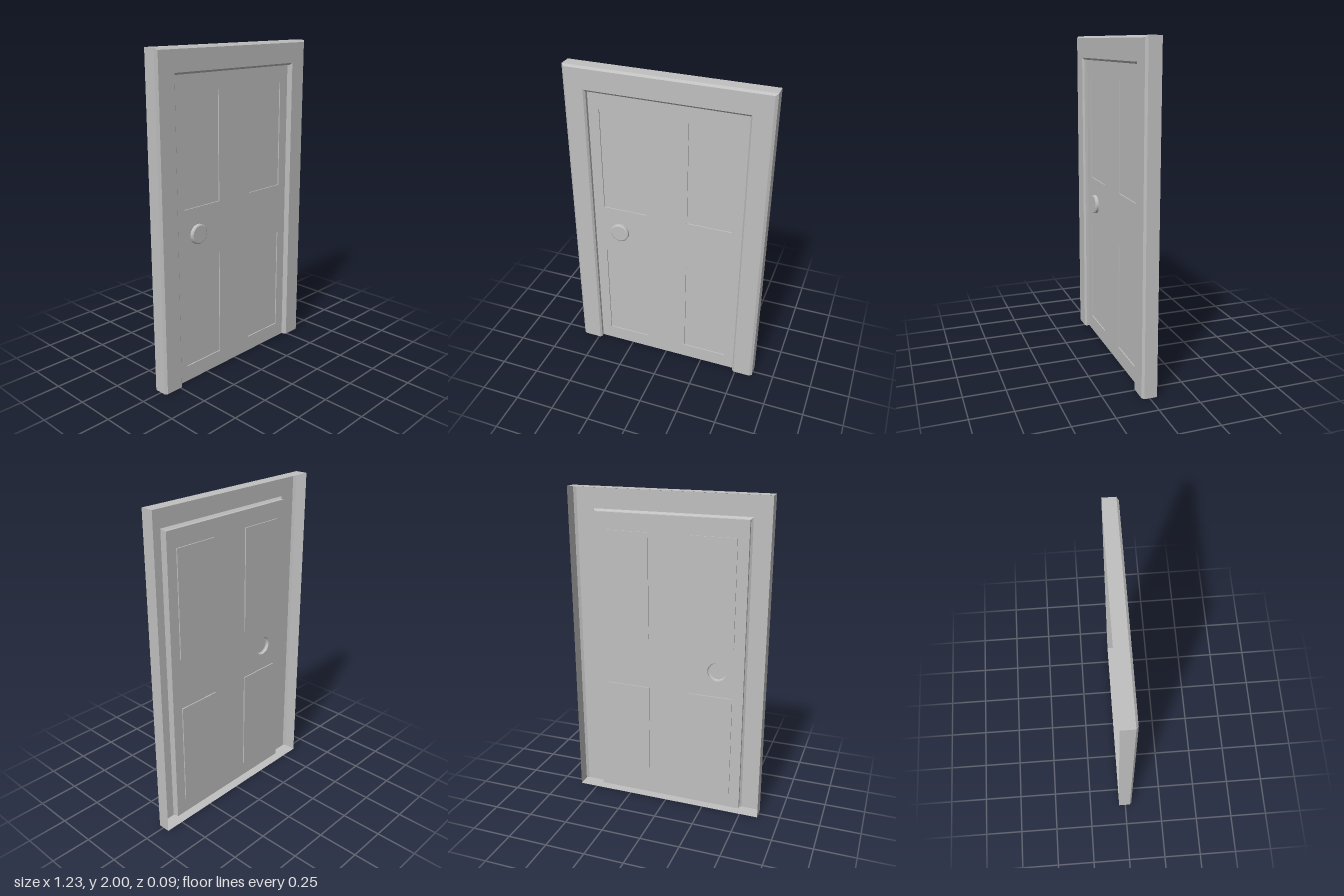
import * as THREE from 'three';

const BACK = -0.0445, FRONT = 0.0445, DOOR = 0.014; // depths in z

// Flat-faced surface lofted through cross-sections of [x, y, z] points
function loft(sections, closed) {
  const pos = [];
  for (let k = 0; k < sections.length - 1; k++) {
    const s = sections[k], t = sections[k + 1];
    const n = closed ? s.length : s.length - 1;
    for (let i = 0; i < n; i++) {
      const j = (i + 1) % s.length;
      pos.push(...s[i], ...t[i], ...t[j], ...s[i], ...t[j], ...s[j]);
    }
  }
  const g = new THREE.BufferGeometry();
  g.setAttribute('position', new THREE.Float32BufferAttribute(pos, 3));
  g.computeVertexNormals();
  return g;
}

// Outline running up the left, across the top and down the right
const outline = (x0, x1, y0, y1, z) => [[x0, y0, z], [x0, y1, z], [x1, y1, z], [x1, y0, z]];
const arch = (x, y, z) => outline(-x, x, 0, y, z);
const polygon = (pts) => new THREE.Shape(pts.map(([x, y]) => new THREE.Vector2(x, y)));

export function createModel() {
  const model = new THREE.Group();
  const grey = new THREE.MeshStandardMaterial({ color: 0xc0c0c0, side: THREE.DoubleSide });
  grey.name = 'grey';
  const add = (name, geometry) => {
    const mesh = new THREE.Mesh(geometry, grey);
    mesh.name = name;
    model.add(mesh);
    return mesh;
  };

  // Frame: open-backed shell with bevelled outer and inner edges
  add('frame', loft([
    arch(0.615, 2, BACK),
    arch(0.615, 2, 0.0325),
    arch(0.6, 1.988, FRONT),
    arch(0.49, 1.865, FRONT),
    arch(0.479, 1.853, 0.033),
    arch(0.479, 1.853, DOOR),
  ], false));

  // Bottom sheet, notched in front of the door
  const half = [[0.615, BACK], [0.615, 0.0325], [0.6, FRONT], [0.49, FRONT], [0.479, 0.033], [0.479, DOOR]];
  const mirrored = half.map(([x, z]) => [-x, z]).reverse();
  add('bottomSheet', new THREE.ShapeGeometry(polygon([...half, ...mirrored])).rotateX(Math.PI / 2));

  // Door sheet with openings for the panels and the knob
  const knobX = -0.31, knobY = 0.925, knobR = 0.06;
  const door = polygon(arch(0.479, 1.853, 0));
  door.holes.push(new THREE.Path().absarc(knobX, knobY, knobR, 0, Math.PI * 2));

  // Four shallow recessed panels
  const depth = 0.007;
  for (const [x0, x1] of [[-0.412, -0.131], [0.131, 0.412]]) {
    for (const [y0, y1] of [[0.098, 0.762], [1.088, 1.748]]) {
      const rim = outline(x0, x1, y0, y1, DOOR);
      const floor = outline(x0, x1, y0, y1, DOOR - depth);
      door.holes.push(polygon(rim));
      add('panelEdge', loft([rim, floor], true));
      add('panel', new THREE.ShapeGeometry(polygon(floor))).position.z = DOOR - depth;
    }
  }
  add('door', new THREE.ShapeGeometry(door, 12)).position.z = DOOR;

  // Round knob, hollow from behind
  const profile = [[knobR, 0], [knobR, 0.015], [0.053, 0.02], [0, 0.02]].map(([r, h]) => new THREE.Vector2(r, h));
  const knob = new THREE.LatheGeometry(profile, 24).toNonIndexed();
  knob.computeVertexNormals();
  add('knob', knob.rotateX(Math.PI / 2)).position.set(knobX, knobY, DOOR);

  return model;
}
